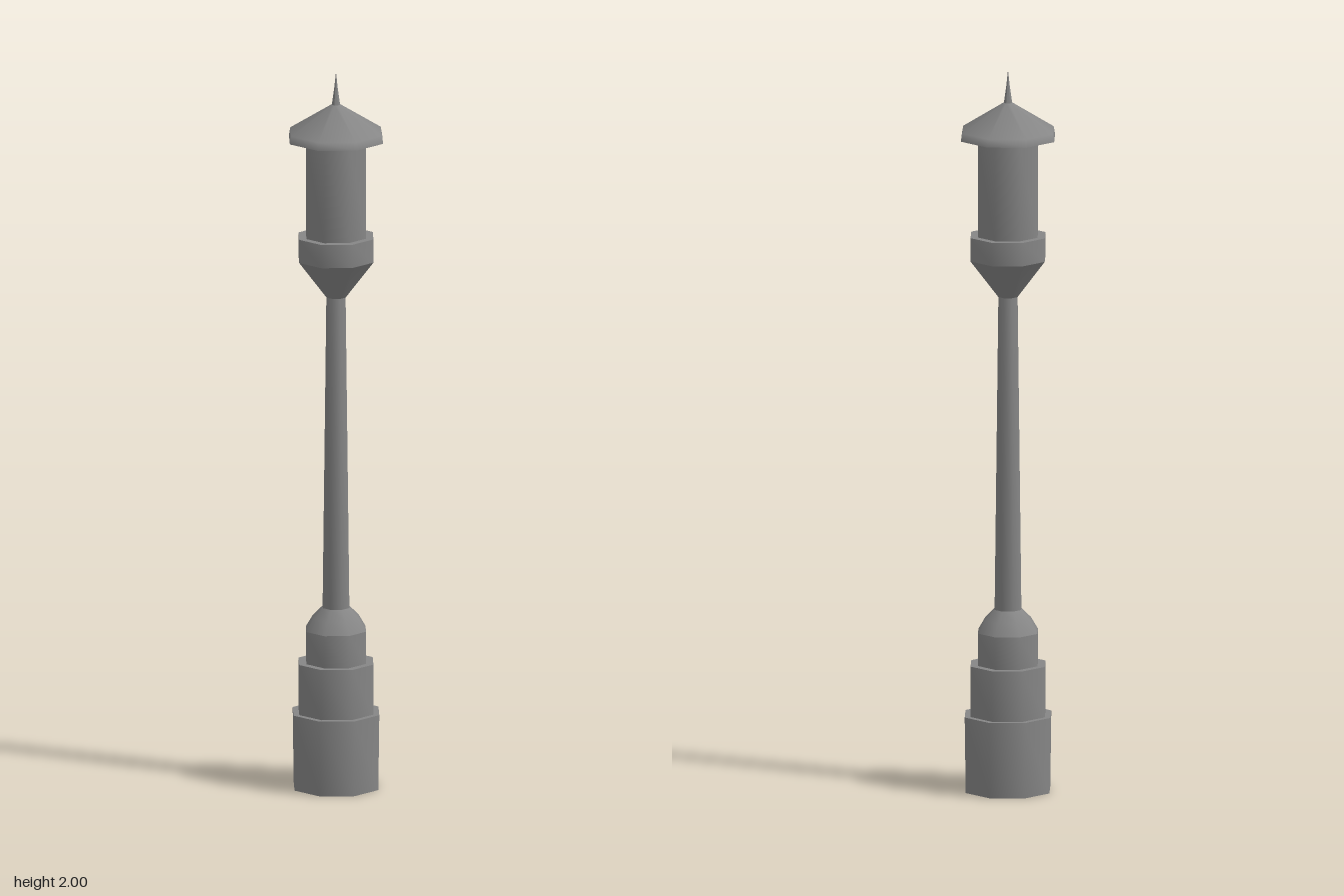
import * as THREE from 'three';
import { toCreasedNormals } from 'three/addons/utils/BufferGeometryUtils.js';

const SIDES = 8;
const CREASE = 0.87; // keeps the eight sides smooth, but the steps sharp

export function createModel() {
  const group = new THREE.Group();
  group.name = 'streetLamp';
  const material = new THREE.MeshStandardMaterial({ color: 0x868686, side: THREE.DoubleSide });

  // Turned part from [radius, height] pairs, listed bottom to top
  const turned = (name, profile, smooth = false) => {
    const points = profile.map(([r, y]) => new THREE.Vector2(r, y));
    const lathe = new THREE.LatheGeometry(points, SIDES);
    const mesh = new THREE.Mesh(smooth ? lathe : toCreasedNormals(lathe, CREASE), material);
    mesh.name = name;
    group.add(mesh);
  };

  // Stepped foot, open underneath
  turned('base', [[0.123, 0], [0.126, 0.21], [0.109, 0.21]]);
  turned('middleTier', [[0.109, 0.21], [0.109, 0.35], [0.0875, 0.35]]);
  turned('upperTier', [[0.0875, 0.35], [0.0875, 0.44]]);
  turned('shoulder', [[0.0875, 0.44], [0.067, 0.474], [0.039, 0.502]], true);

  // Tapered post
  turned('post', [[0.039, 0.5], [0.028, 1.37]]);

  // Lantern: flared cup, collar and body
  turned('lanternCup', [[0.028, 1.37], [0.109, 1.475]]);
  turned('lanternCollar', [[0.109, 1.475], [0.109, 1.54], [0.0875, 1.54]]);
  turned('lanternBody', [[0.0875, 1.54], [0.0875, 1.81]]);

  // Roof with a soft eave, and the spike on top
  turned('roofUnderside', [[0.0875, 1.81], [0.137, 1.81]]);
  turned('roof', [[0.137, 1.81], [0.133, 1.832], [0.012, 1.908]], true);
  turned('finial', [[0.012, 1.908], [0.005, 1.955], [0, 2]]);

  return group;
}
